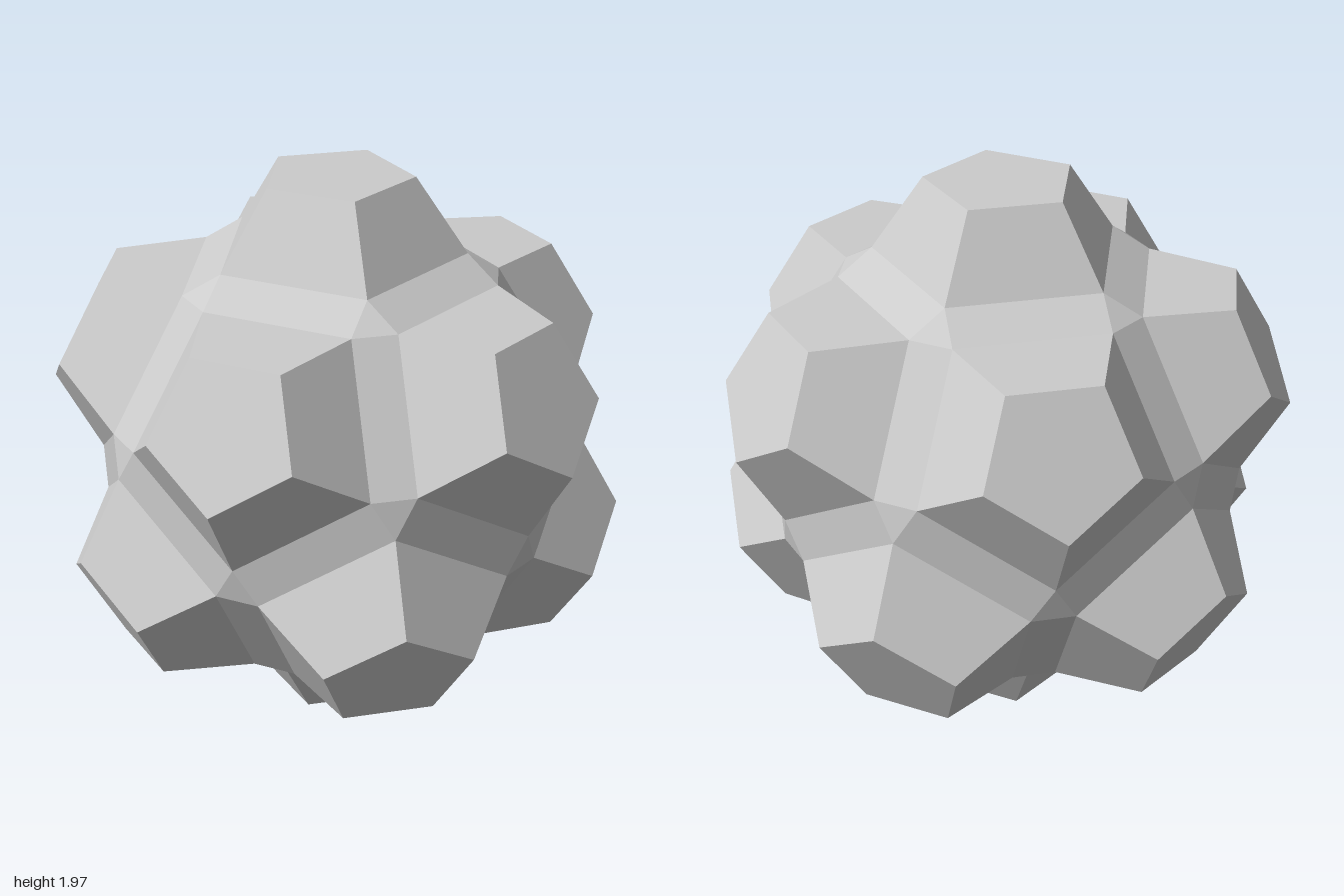
import * as THREE from 'three';

export function createModel() {
  const group = new THREE.Group();
  const mat = new THREE.MeshStandardMaterial({ color: 0xcccccc, flatShading: true });

  // Pentagonal stud: radius and distance from the centre, at its top and base
  const topR = 0.263, topH = 0.987, baseR = 0.4416, baseH = 0.723;
  const step = Math.PI * 2 / 5, polar = Math.atan(2);

  const body = new THREE.Group();
  body.name = 'body';
  body.position.y = topH;
  group.add(body);

  // Twelve studs on the icosahedral directions: two poles and two rings of five
  const studGeo = new THREE.LatheGeometry([
    new THREE.Vector2(baseR, baseH),
    new THREE.Vector2(topR, topH),
    new THREE.Vector2(0, topH),
  ], 5);
  const axes = [];
  function addStud(name, tilt, azimuth, spin) {
    const stud = new THREE.Mesh(studGeo, mat);
    stud.name = name;
    stud.rotation.set(tilt, azimuth, 0, 'YXZ');
    stud.rotateY(spin);
    body.add(stud);
    axes.push(new THREE.Vector3(0, 1, 0).applyQuaternion(stud.quaternion));
  }
  addStud('topStud', 0, 0, Math.PI);
  addStud('bottomStud', Math.PI, 0, Math.PI);
  for (let i = 0; i < 5; i++) {
    addStud('upperStud', polar, i * step, 0);
    addStud('lowerStud', Math.PI - polar, (i + 0.5) * step, Math.PI);
  }

  // Valley sizes that follow from the stud bases
  const edge = 2 * baseR * Math.sin(step / 2);
  const apothem = baseR * Math.cos(step / 2);
  const s = Math.sin(polar / 2), c = Math.cos(polar / 2);
  const width = 2 * (baseH * s - apothem * c);
  const stripDist = baseH * c + apothem * s;
  const triR = width / Math.sqrt(3);
  const triDist = Math.sqrt(baseH ** 2 + baseR ** 2 - triR ** 2);
  const stripGeo = new THREE.PlaneGeometry(width, edge);
  const triGeo = new THREE.CircleGeometry(triR, 3);

  // Flat panel facing outward along n, its local x leaning toward a
  function addPanel(name, geo, n, a, dist) {
    const x = a.clone().addScaledVector(n, -a.dot(n)).normalize();
    const y = n.clone().cross(x);
    const panel = new THREE.Mesh(geo, mat);
    panel.name = name;
    panel.quaternion.setFromRotationMatrix(new THREE.Matrix4().makeBasis(x, y, n));
    panel.position.copy(n).multiplyScalar(dist);
    body.add(panel);
  }

  // A strip between each two neighbouring studs, a triangle between each three
  const near = (a, b) => a.dot(b) > 0.4;
  for (let i = 0; i < 12; i++) {
    for (let j = i + 1; j < 12; j++) {
      if (!near(axes[i], axes[j])) continue;
      const sum = axes[i].clone().add(axes[j]);
      addPanel('valleyStrip', stripGeo, sum.clone().normalize(), axes[i], stripDist);
      for (let k = j + 1; k < 12; k++) {
        if (!near(axes[i], axes[k]) || !near(axes[j], axes[k])) continue;
        addPanel('valleyCorner', triGeo, sum.clone().add(axes[k]).normalize(), axes[i], triDist);
      }
    }
  }
  return group;
}
